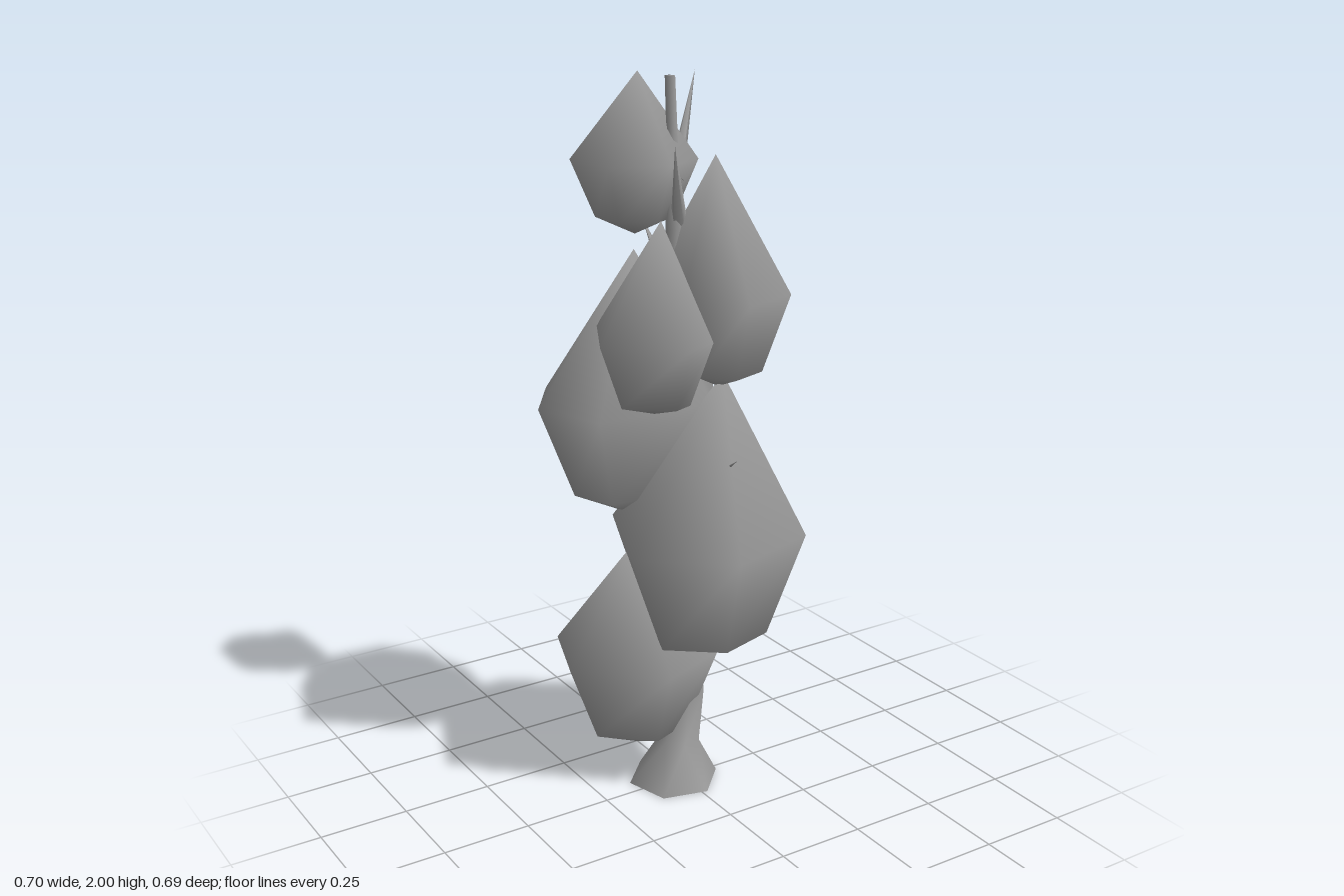
import * as THREE from 'three';

// Skin closed with a centre point at each end; rings run bottom to top, each going from +x towards +z
function loft(rings, bottom, top) {
  const n = rings[0].length, pos = [...rings.flat(), bottom, top].flat(), idx = [];
  const b = rings.length * n, t = b + 1, last = b - n;
  for (let j = 0; j < n; j++) {
    const k = (j + 1) % n;
    for (let i = 0; i < rings.length - 1; i++) {
      const a = i * n + j, c = i * n + k;
      idx.push(a, a + n, c, c, a + n, c + n);
    }
    idx.push(b, j, k, t, last + k, last + j);
  }
  const g = new THREE.BufferGeometry();
  g.setAttribute('position', new THREE.Float32BufferAttribute(pos, 3));
  g.setIndex(idx);
  g.computeVertexNormals();
  return g;
}

// Foliage: widest-ring centre, three half-diagonals of its hexagon [x, z], apex, lower ring and bottom heights
const clumps = [
  { c: [-0.085, 0.40, -0.105], d: [[-0.245, 0.055], [0.035, -0.24], [-0.165, -0.165]], apex: [-0.12, 0.73, -0.06], low: 0.165, base: 0.09 },
  { c: [0.045, 0.79, 0.06], d: [[0.305, -0.11], [0.18, 0.205], [-0.085, 0.285]], apex: [0.075, 1.22, 0.085], low: 0.49, base: 0.41 },
  { c: [-0.0875, 1.13, -0.135], d: [[-0.267, -0.015], [-0.152, -0.185], [0.1875, -0.175]], apex: [-0.11, 1.55, -0.06], low: 0.87, base: 0.79 },
  { c: [-0.13, 1.355, 0.07], d: [[-0.185, 0.045], [-0.08, -0.155], [-0.01, 0.19]], apex: [-0.12, 1.65, 0.09], low: 1.18, base: 1.14 },
  { c: [0.075, 1.45, 0.06], d: [[0.17, -0.095], [0.11, 0.17], [-0.055, 0.225]], apex: [0.05, 1.80, 0.08], low: 1.235, base: 1.18 },
  { c: [-0.0825, 1.775, -0.1], d: [[-0.1425, -0.085], [-0.0225, -0.15], [0.1275, -0.09]], apex: [-0.08, 2.0, -0.085], low: 1.625, base: 1.58 },
];

function clumpGeometry({ c, d, apex, low, base }) {
  const hex = [...d, ...d.map(([x, z]) => [-x, -z])]
    .sort((p, q) => Math.atan2(p[1], p[0]) - Math.atan2(q[1], q[0]));
  const ring = (y, s) => hex.map(([x, z]) => [c[0] + x * s, y, c[2] + z * s]);
  return loft([ring(low, 0.62), ring(c[1], 1)], [c[0], base, c[2]], apex);
}

// Trunk: x, y, z, radius, twist for each ring; the doubled first ring keeps the foot edge sharp
const trunkRings = [
  [-0.02, 0, -0.015, 0.13, 0.25], [-0.02, 0, -0.015, 0.13, 0.25],
  [-0.01, 0.13, 0.0, 0.058, 0.8], [0.03, 0.27, -0.02, 0.05, 0.9],
  [0.0, 0.6, -0.01, 0.042, 0.9], [-0.02, 1.1, -0.02, 0.035, 0.9],
  [-0.01, 1.6, -0.02, 0.025, 0.9], [-0.015, 1.78, -0.02, 0.016, 0.9],
  [-0.022, 1.99, -0.022, 0.014, 0.9],
];

function trunkGeometry() {
  const rings = trunkRings.map(([x, y, z, r, twist]) => Array.from({ length: 6 }, (_, j) => {
    const a = twist + j * Math.PI / 3;
    return [x + r * Math.cos(a), y, z + r * Math.sin(a)];
  }));
  return loft(rings, [-0.02, 0, -0.015], [-0.022, 1.99, -0.022]);
}

// Twigs: start, tip, base radius
const twigs = [
  [[-0.01, 1.73, -0.015], [0.1, 1.99, -0.095], 0.022],
  [[0.0, 1.62, -0.015], [-0.1, 1.84, 0.125], 0.022],
  [[-0.01, 1.42, -0.02], [-0.03, 1.61, -0.15], 0.025],
  [[-0.01, 1.0, -0.02], [0.165, 1.18, -0.185], 0.03],
  [[-0.01, 0.85, 0.0], [0.02, 1.03, 0.235], 0.03],
  [[0.0, 0.7, -0.01], [-0.09, 0.87, -0.09], 0.03],
];

function twigGeometry(from, to, r) {
  const a = new THREE.Vector3(...from), dir = new THREE.Vector3(...to).sub(a);
  const len = dir.length();
  const g = new THREE.ConeGeometry(r, len, 5);
  g.translate(0, len / 2, 0);
  g.applyQuaternion(new THREE.Quaternion().setFromUnitVectors(new THREE.Vector3(0, 1, 0), dir.normalize()));
  return g.translate(a.x, a.y, a.z);
}

export function createModel() {
  const group = new THREE.Group();
  group.name = 'tree';
  const grey = new THREE.MeshStandardMaterial({ color: 0x9c9c9c });
  grey.name = 'plain grey';
  const add = (name, geometry) => {
    const mesh = new THREE.Mesh(geometry, grey);
    mesh.name = name;
    group.add(mesh);
  };
  add('trunk', trunkGeometry());
  clumps.forEach((c, i) => add(`foliage${i + 1}`, clumpGeometry(c)));
  twigs.forEach((t, i) => add(`twig${i + 1}`, twigGeometry(...t)));
  return group;
}
